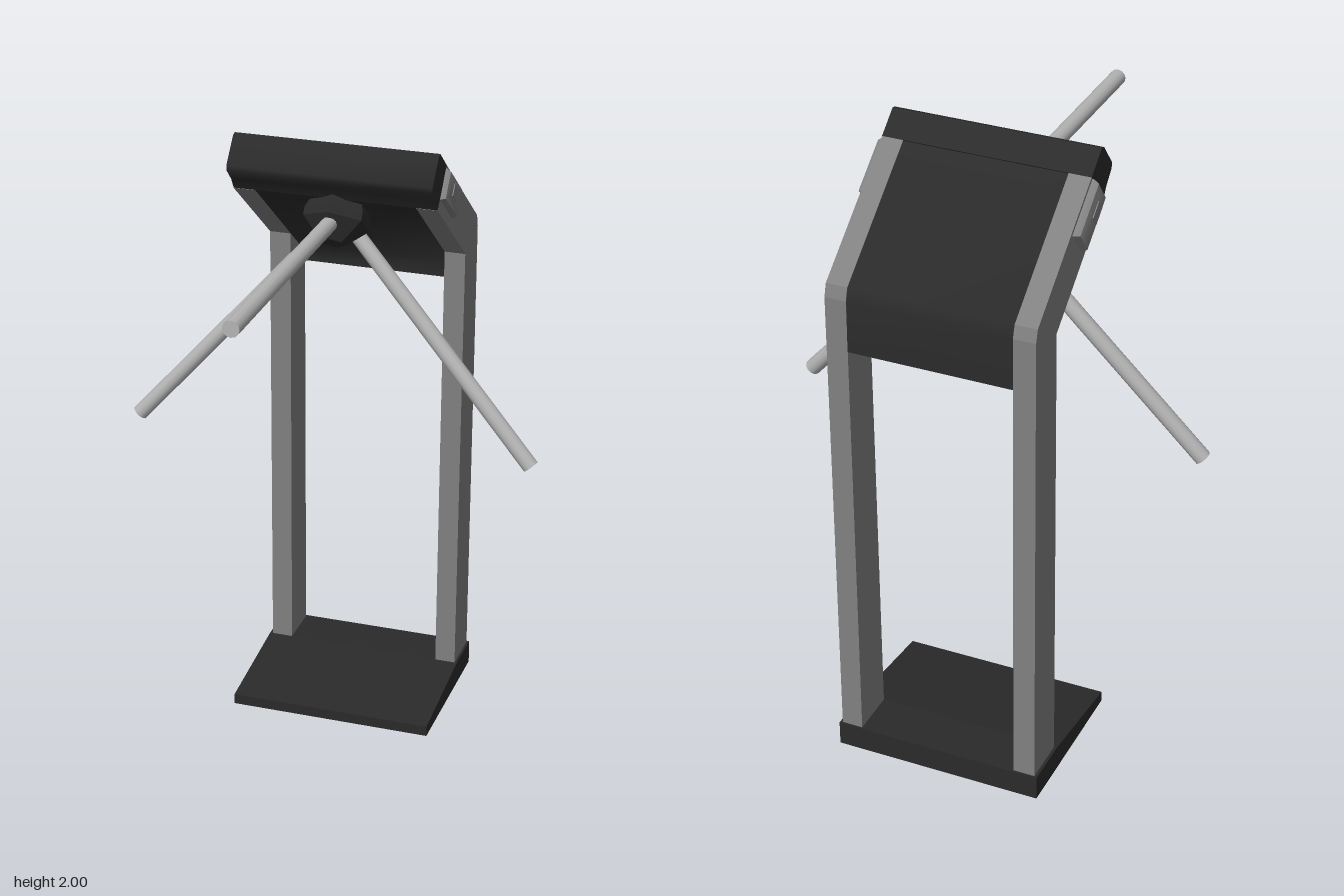
import * as THREE from 'three';
import { toCreasedNormals } from 'three/addons/utils/BufferGeometryUtils.js';

const SLOPE = 0.656; // tilt of the head above horizontal

const material = (name, color, extra = {}) => new THREE.MeshStandardMaterial({ name, color, ...extra });

// Extrudes a [z, y] profile across x from x0 to x1
function sideExtrude(points, x0, x1, options = {}) {
  const shape = new THREE.Shape(points.map(([z, y]) => new THREE.Vector2(z, y)));
  const geo = new THREE.ExtrudeGeometry(shape, { depth: x1 - x0, bevelEnabled: false, ...options });
  geo.rotateY(-Math.PI / 2);
  geo.translate(x1, 0, 0);
  return geo;
}

export function createModel() {
  const group = new THREE.Group();
  const black = material('blackPlastic', 0x2a2a2a);
  const grey = material('greyMetal', 0x808080);
  const steel = material('brushedSteel', 0xb4b4b4);

  const add = (name, geo, mat) => {
    const mesh = new THREE.Mesh(geo, mat);
    mesh.name = name;
    group.add(mesh);
    return mesh;
  };

  // Wedge-shaped floor plate
  add('base', sideExtrude([[-0.705, 0], [-0.18, 0], [-0.18, 0.035], [-0.545, 0.08], [-0.705, 0.08]], -0.335, 0.338), black);

  // Bent side posts and the control bumps on their outer faces
  const post = [[-0.698, 0.08], [-0.545, 0.08], [-0.545, 1.565], [-0.21, 1.825], [-0.3, 1.941], [-0.678, 1.65], [-0.69, 1.61]];
  for (const side of [-1, 1]) {
    const label = side > 0 ? 'left' : 'right';
    const [x0, x1] = side > 0 ? [0.262, 0.33] : [-0.325, -0.255];
    add(label + 'Post', sideExtrude(post, x0, x1), grey);

    const bump = new THREE.Group();
    bump.name = label + 'ControlBump';
    const shell = sideExtrude([[-0.065, -0.025], [0.065, -0.025], [0.065, 0.025], [-0.065, 0.025]], -0.005, 0.005,
      { bevelEnabled: true, bevelThickness: 0.022, bevelSize: 0.026, bevelSegments: 2 });
    bump.add(new THREE.Mesh(toCreasedNormals(shell, 0.5), grey));
    const button = new THREE.Mesh(new THREE.BoxGeometry(0.008, 0.04, 0.055), grey);
    button.position.set(side * 0.026, 0, 0.015);
    bump.add(button);
    bump.position.set(side * 0.325, 1.838, -0.335);
    bump.rotation.x = -SLOPE;
    group.add(bump);
  }

  // Panel between the posts, folded down at the back
  const panel = [[-0.692, 1.445], [-0.63, 1.445], [-0.63, 1.5], [-0.21, 1.826], [-0.3, 1.939], [-0.677, 1.648], [-0.688, 1.61]];
  add('headPanel', toCreasedNormals(sideExtrude(panel, -0.255, 0.262), 0.95), black);

  // Full-width nose closing the top of the head
  const nose = [[-0.3, 1.941], [-0.21, 1.826], [-0.188, 1.862], [-0.15, 1.9], [-0.147, 1.918], [-0.21, 1.995], [-0.226, 2]];
  add('headNose', toCreasedNormals(sideExtrude(nose, -0.325, 0.33), 0.95), black);

  // Faceted hub on a tilted axis
  const hubProfile = [[0, 0], [0.04, 0], [0.108, 0.065], [0.108, 0.09], [0.085, 0.15]].map(p => new THREE.Vector2(...p));
  const hub = add('hub', toCreasedNormals(new THREE.LatheGeometry(hubProfile, 6), 0.3), black);
  hub.position.set(0, 1.687, -0.196);
  hub.rotation.x = -SLOPE;

  // Three barrier arms fanning out from the hub
  const arms = [
    ['frontArm', [0, 1.76, -0.24], [0, 1.757, 0.71]],
    ['leftArm', [0.03, 1.72, -0.28], [0.652, 1.025, -0.195]],
    ['rightArm', [-0.03, 1.72, -0.28], [-0.652, 1.025, -0.195]],
  ];
  for (const [name, a, b] of arms) {
    const start = new THREE.Vector3(...a), end = new THREE.Vector3(...b);
    const dir = end.clone().sub(start);
    const arm = add(name, new THREE.CylinderGeometry(0.026, 0.025, dir.length(), 12), steel);
    arm.position.copy(start).add(end).multiplyScalar(0.5);
    arm.quaternion.setFromUnitVectors(new THREE.Vector3(0, 1, 0), dir.normalize());
  }

  return group;
}
